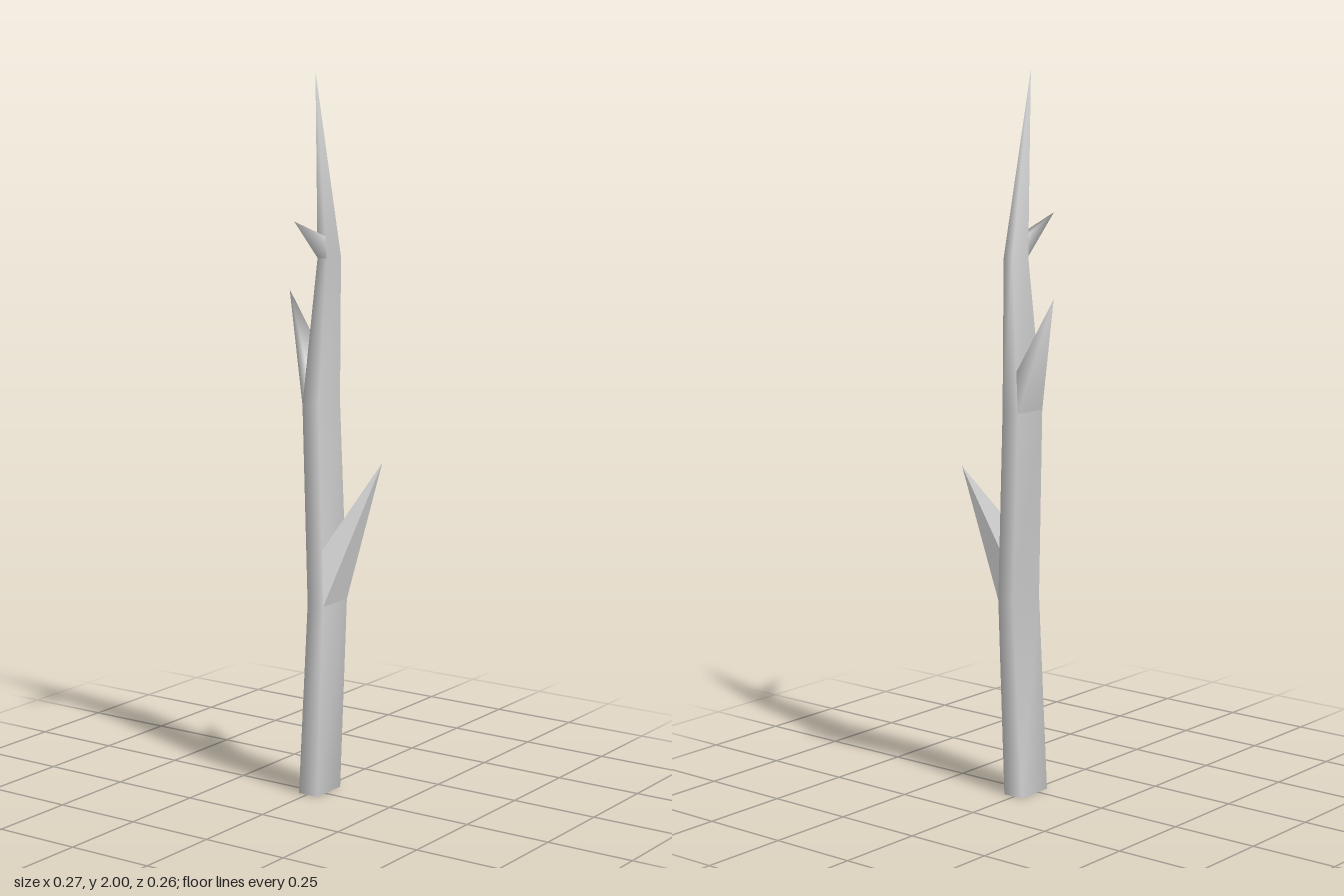
import * as THREE from 'three';

const smooth = new THREE.MeshStandardMaterial({ color: 0xcccccc });
const faceted = new THREE.MeshStandardMaterial({ color: 0xcccccc, flatShading: true });

// Four-sided skin through the rings (counter-clockwise seen from the apex), closed to a point.
function spike(name, rings, apex, material) {
  const points = [...rings.flat(), apex];
  const top = points.length - 1;
  const index = [];
  rings.forEach((ring, i) => {
    for (let j = 0; j < 4; j++) {
      const a = i * 4 + j;
      const b = i * 4 + (j + 1) % 4;
      if (i === rings.length - 1) index.push(a, b, top);
      else index.push(a, b, b + 4, a, b + 4, a + 4);
    }
  });
  const geometry = new THREE.BufferGeometry();
  geometry.setAttribute('position', new THREE.Float32BufferAttribute(points.flat(), 3));
  geometry.setIndex(index);
  geometry.computeVertexNormals();
  const mesh = new THREE.Mesh(geometry, material);
  mesh.name = name;
  return mesh;
}

// Horizontal rectangle across the trunk.
const section = (y, x0, x1, z0, z1) => [[x0, y, z1], [x1, y, z1], [x1, y, z0], [x0, y, z0]];

export function createModel() {
  const group = new THREE.Group();
  group.name = 'deadTree';

  // Bent trunk, tapering to a point
  const trunkRings = [
    section(0, -0.04, 0.073, -0.027, 0.035),
    section(0.55, -0.05, 0.065, 0.01, 0.062),
    section(1.09, 0.015, 0.12, -0.053, 0),
    section(1.5, 0, 0.068, 0.008, 0.038),
  ];
  group.add(spike('trunk', trunkRings, [-0.02, 2, 0.015], smooth));

  // Flat cut at the foot
  const foot = new THREE.Mesh(new THREE.PlaneGeometry(0.113, 0.062).rotateX(Math.PI / 2), faceted);
  foot.name = 'trunkBase';
  foot.position.set(0.0165, 0, 0.004);
  group.add(foot);

  // Lower branch growing from the front face
  group.add(spike('frontBranch', [[
    [-0.05, 0.55, 0.062], [0.065, 0.55, 0.062], [0.08, 0.7, 0.044], [-0.032, 0.7, 0.044],
  ]], [0.137, 0.93, 0.13], faceted));

  // Middle branch growing from the back face
  group.add(spike('backBranch', [[
    [0.12, 1.09, -0.053], [0.015, 1.09, -0.053], [0.011, 1.2, -0.036], [0.106, 1.2, -0.036],
  ]], [0.063, 1.4, -0.13], smooth));

  // Small twig near the top on the right side
  group.add(spike('sideTwig', [[
    [0, 1.5, 0.008], [0, 1.5, 0.038], [-0.002, 1.56, 0.035], [-0.002, 1.56, 0.009],
  ]], [-0.137, 1.61, 0.028], smooth));

  return group;
}
